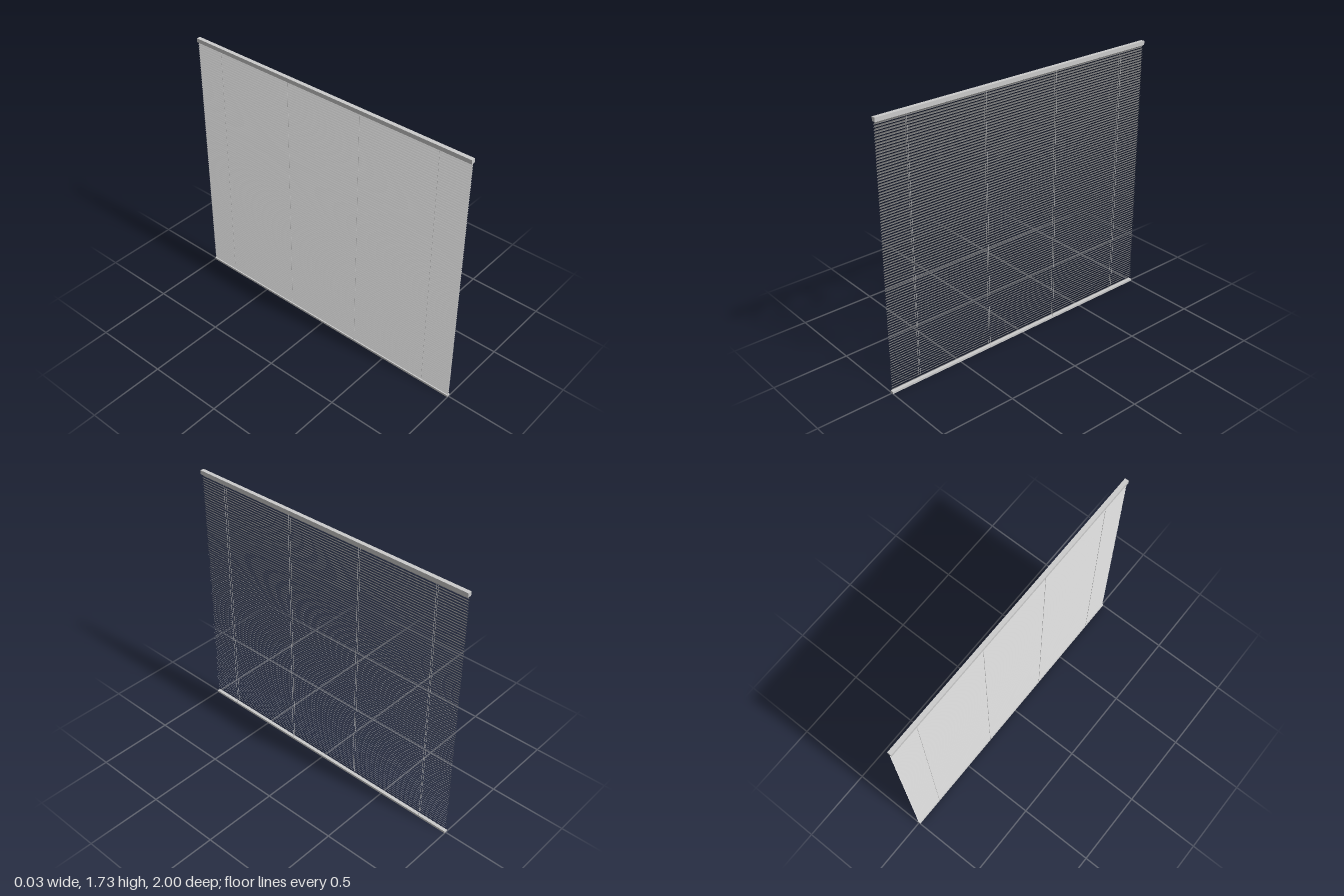
import * as THREE from 'three';

const HALF_LENGTH = 1;
const SLATS = 101;
const SLAT_BOTTOM = 0.027;
const SLAT_TOP = 1.693;
const TILT = THREE.MathUtils.degToRad(52);
const SLAT_WIDTH = 0.022;

export function createModel() {
  const group = new THREE.Group();
  group.name = 'venetianBlind';
  const material = new THREE.MeshStandardMaterial({ color: 0xcccccc });
  const thin = new THREE.MeshStandardMaterial({ color: 0xcccccc, side: THREE.DoubleSide });

  function add(name, geometry, mat, x, y, z) {
    const mesh = new THREE.Mesh(geometry, mat);
    mesh.name = name;
    mesh.position.set(x, y, z);
    group.add(mesh);
    return mesh;
  }

  // Head rail and bottom rail
  add('headRail', new THREE.BoxGeometry(0.026, 0.026, 2 * HALF_LENGTH), material, 0, 1.717, 0);
  add('bottomRail', new THREE.BoxGeometry(0.023, 0.014, 2 * HALF_LENGTH), material, 0, 0.007, 0);

  // Slat: a thin strip with a shallow crown, tilted up towards +x
  const slat = new THREE.PlaneGeometry(SLAT_WIDTH, 2 * HALF_LENGTH - 0.004, 4, 1);
  slat.rotateX(-Math.PI / 2);
  const p = slat.attributes.position;
  for (let i = 0; i < p.count; i++) {
    const u = p.getX(i) / (SLAT_WIDTH / 2);
    p.setY(i, 0.0012 * (0.5 - u * u));
  }
  slat.computeVertexNormals();
  slat.rotateZ(TILT);

  const pitch = (SLAT_TOP - SLAT_BOTTOM) / (SLATS - 1);
  for (let i = 0; i < SLATS; i++) {
    add('slat', slat, thin, 0, SLAT_BOTTOM + i * pitch, 0);
  }

  // Ladder cords: one on each face of the slats
  const cordHeight = 1.69;
  const cord = new THREE.CylinderGeometry(0.0011, 0.0011, cordHeight, 6);
  const halfWidth = (SLAT_WIDTH / 2) * Math.cos(TILT);
  for (const z of [-0.8, -0.265, 0.265, 0.8]) {
    for (const side of [-1, 1]) {
      add('ladderCord', cord, material, side * (halfWidth + 0.001), 0.014 + cordHeight / 2, z);
    }
  }

  return group;
}
